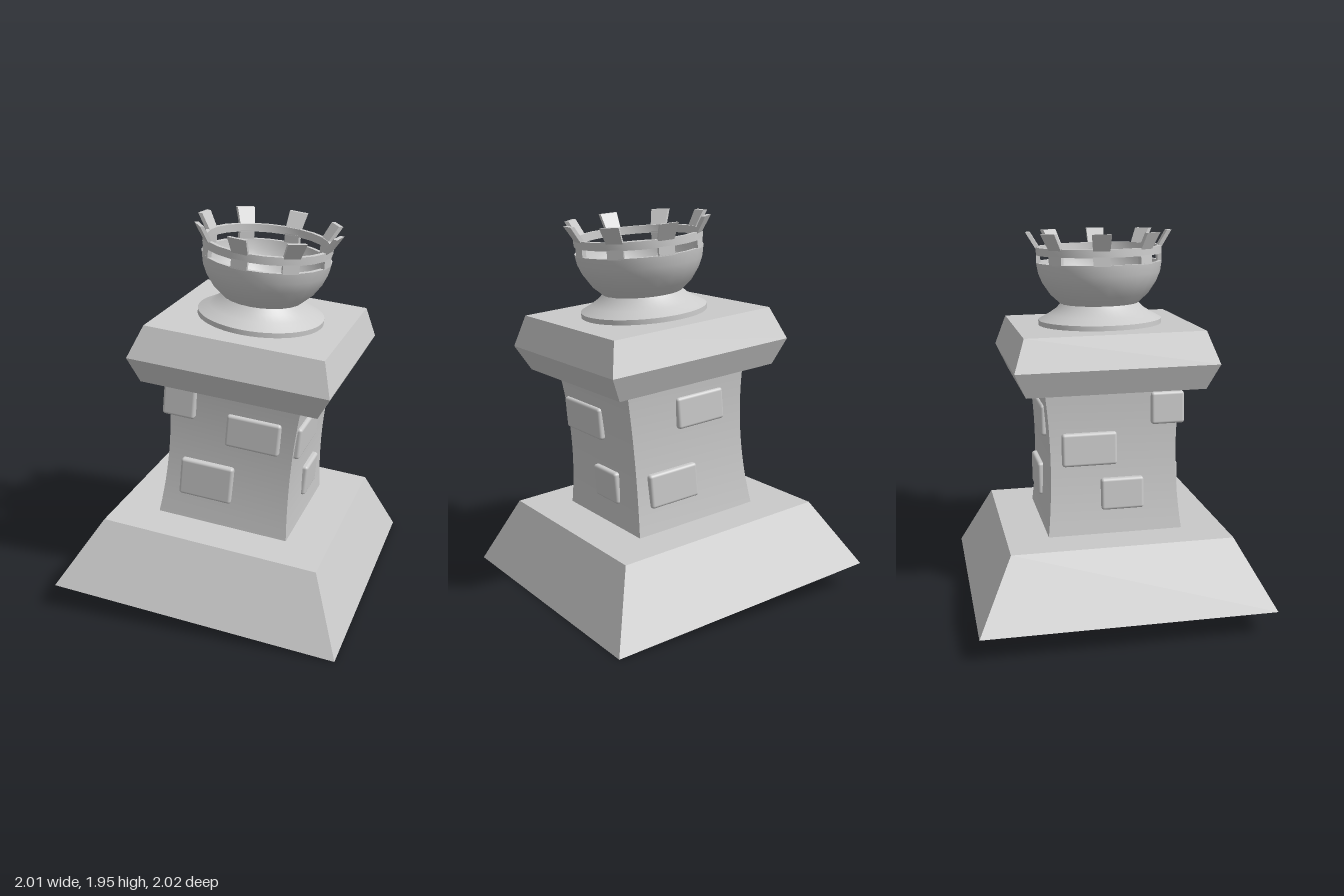
import * as THREE from 'three';
import { toCreasedNormals } from 'three/addons/utils/BufferGeometryUtils.js';
import { RoundedBoxGeometry } from 'three/addons/geometries/RoundedBoxGeometry.js';

const material = new THREE.MeshStandardMaterial({ color: 0xcccccc });

function addMesh(parent, name, geometry) {
  const mesh = new THREE.Mesh(geometry, material);
  mesh.name = name;
  parent.add(mesh);
  return mesh;
}

// Round part from [radius, height] pairs
function turned(points, segments = 24) {
  const profile = points.map(([r, y]) => new THREE.Vector2(r, y));
  return toCreasedNormals(new THREE.LatheGeometry(profile, segments), 0.6);
}

// Square part from [half width, height] pairs
function squared(points) {
  const geometry = turned(points.map(([h, y]) => [h * Math.SQRT2, y]), 4);
  return geometry.rotateY(Math.PI / 4);
}

// Curved block of a ring wall, its radius going from r0 at y0 to r1 at y1
function ringBlock(angle, span, y0, y1, r0, r1, thickness) {
  const geometry = new THREE.BoxGeometry(1, 1, 1);
  const p = geometry.attributes.position;
  for (let i = 0; i < p.count; i++) {
    const t = p.getY(i) + 0.5;
    const a = angle + p.getX(i) * span;
    const r = r0 + (r1 - r0) * t + (p.getZ(i) - 0.5) * thickness;
    p.setXYZ(i, Math.sin(a) * r, y0 + (y1 - y0) * t, Math.cos(a) * r);
  }
  geometry.computeVertexNormals();
  return geometry;
}

export function createModel() {
  const model = new THREE.Group();
  model.name = 'tower';

  // The whole tower is turned and leans slightly
  const tower = new THREE.Group();
  tower.name = 'leaningTower';
  tower.position.y = 0.073;
  tower.rotation.set(0, 0.518, -0.091);
  model.add(tower);

  // Sloped plinth
  addMesh(tower, 'plinth', squared([[0, 0], [0.74, 0], [0.56, 0.344], [0, 0.344]]));

  // Shaft with gently hollowed sides
  const shaft = [];
  for (let i = 0; i <= 12; i++) {
    const t = i / 6 - 1;
    shaft.push([0.322 + 0.023 * t * t, 0.717 + 0.375 * t]);
  }
  addMesh(tower, 'shaft', squared(shaft));

  // Overhanging cornice
  addMesh(tower, 'cornice', squared([[0, 1.09], [0.449, 1.09], [0.507, 1.219], [0.45, 1.38], [0, 1.38]]));

  // Raised stones: side (quarter turns from the front), offset, height, width, tall
  const stones = [
    [0, 0.115, 0.88, 0.28, 0.17], [0, -0.106, 0.575, 0.28, 0.2],
    [1, -0.125, 0.865, 0.35, 0.165], [1, 0.05, 0.55, 0.215, 0.165],
    [2, 0.07, 0.92, 0.275, 0.16], [2, -0.12, 0.56, 0.28, 0.175],
    [3, -0.125, 0.79, 0.28, 0.17], [3, 0.04, 0.55, 0.22, 0.165],
  ];
  for (const [side, offset, y, width, tall] of stones) {
    const geometry = new RoundedBoxGeometry(width, tall, 0.08, 3, 0.015);
    geometry.translate(offset, y, 0.311).rotateY(side * Math.PI / 2);
    addMesh(tower, 'stone', geometry);
  }
  const corner = new RoundedBoxGeometry(0.17, 0.165, 0.17, 3, 0.015);
  addMesh(tower, 'cornerStone', corner).position.set(-0.276, 0.985, 0.276);

  // Flared foot and hollow bowl
  addMesh(tower, 'foot', turned([
    [0, 1.38], [0.32, 1.38], [0.32, 1.405], [0.265, 1.435], [0.225, 1.462], [0.203, 1.487], [0, 1.487],
  ], 48));
  addMesh(tower, 'bowl', turned([
    [0.203, 1.487], [0.255, 1.535], [0.295, 1.595], [0.316, 1.645], [0.325, 1.7],
    [0.303, 1.7], [0.295, 1.65], [0.272, 1.595], [0.235, 1.545], [0.175, 1.5], [0, 1.5],
  ]));

  // Crown: posts, band and outward-leaning merlons
  const step = Math.PI / 12;
  for (let i = 0; i < 8; i++) {
    const angle = step * (2.5 + 3 * i);
    addMesh(tower, 'post', ringBlock(angle, step, 1.695, 1.745, 0.325, 0.324, 0.022));
    addMesh(tower, 'merlon', ringBlock(angle, step, 1.77, 1.853, 0.325, 0.375, 0.022));
  }
  addMesh(tower, 'crownBand', turned([
    [0.302, 1.738], [0.324, 1.738], [0.325, 1.778], [0.303, 1.778], [0.302, 1.738],
  ]));

  return model;
}
